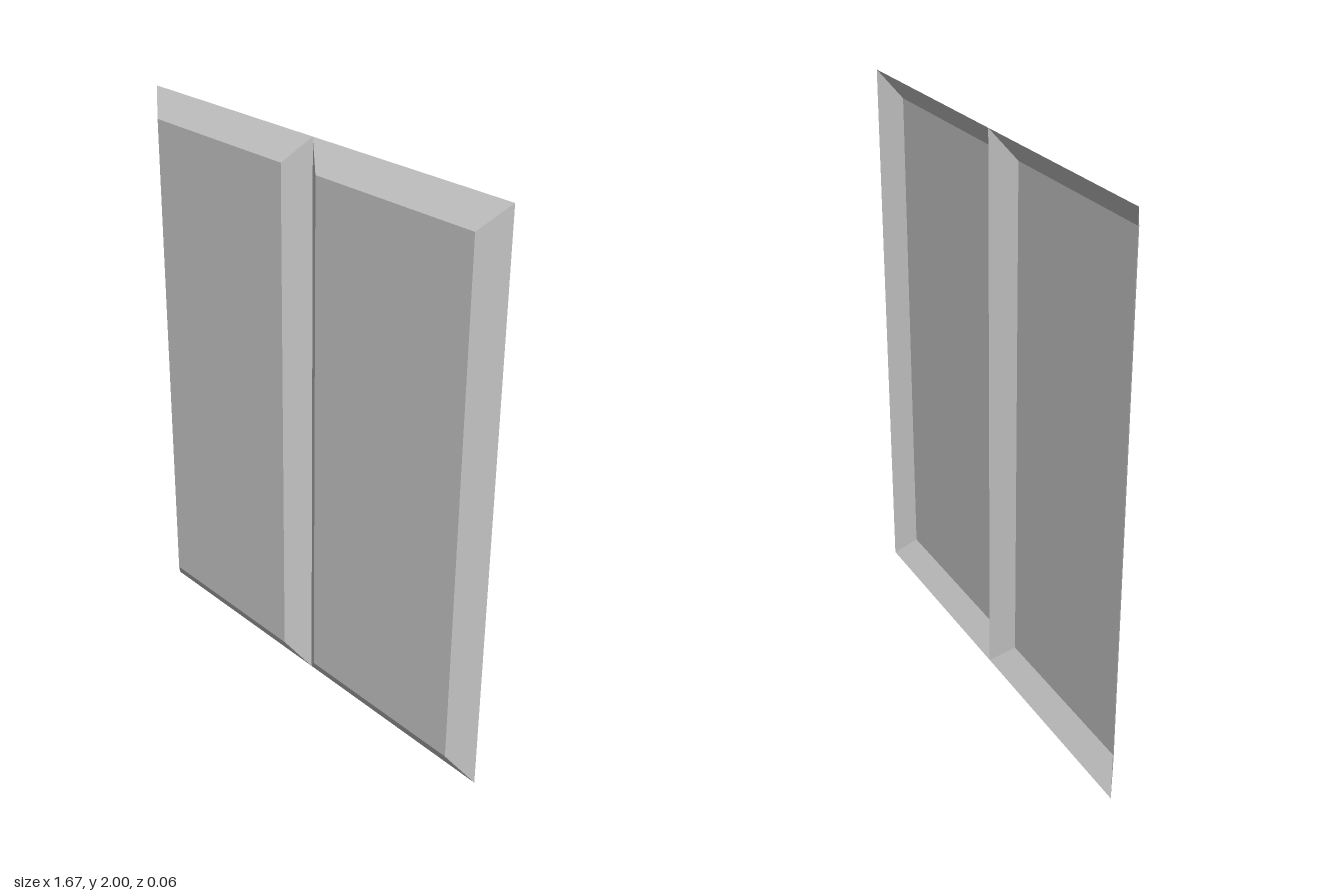
import * as THREE from 'three';

const WIDTH = 0.833, HEIGHT = 2, DEPTH = 0.06, BEVEL_X = 0.083, BEVEL_Y = 0.09;

// Raised panel: a box narrowed towards its front, hollow and open at the back
function panelGeometry() {
  const geometry = new THREE.BoxGeometry(WIDTH, HEIGHT, DEPTH);
  const pos = geometry.attributes.position;
  for (let i = 0; i < pos.count; i++) {
    if (pos.getZ(i) < 0) continue;
    pos.setX(i, pos.getX(i) - Math.sign(pos.getX(i)) * BEVEL_X);
    pos.setY(i, pos.getY(i) - Math.sign(pos.getY(i)) * BEVEL_Y);
  }
  // The back face holds the last six indices
  geometry.setIndex(Array.from(geometry.index.array).slice(0, 30));
  geometry.clearGroups();
  geometry.computeVertexNormals();
  return geometry;
}

export function createModel() {
  const model = new THREE.Group();
  model.name = 'doublePanel';
  const material = new THREE.MeshStandardMaterial({
    color: 0xcccccc, flatShading: true, side: THREE.DoubleSide,
  });
  const geometry = panelGeometry();

  // Two panels side by side, meeting at the centre line
  for (const [name, side] of [['leftPanel', 1], ['rightPanel', -1]]) {
    const panel = new THREE.Mesh(geometry, material);
    panel.name = name;
    panel.position.set(side * WIDTH / 2, HEIGHT / 2, 0);
    model.add(panel);
  }
  return model;
}
